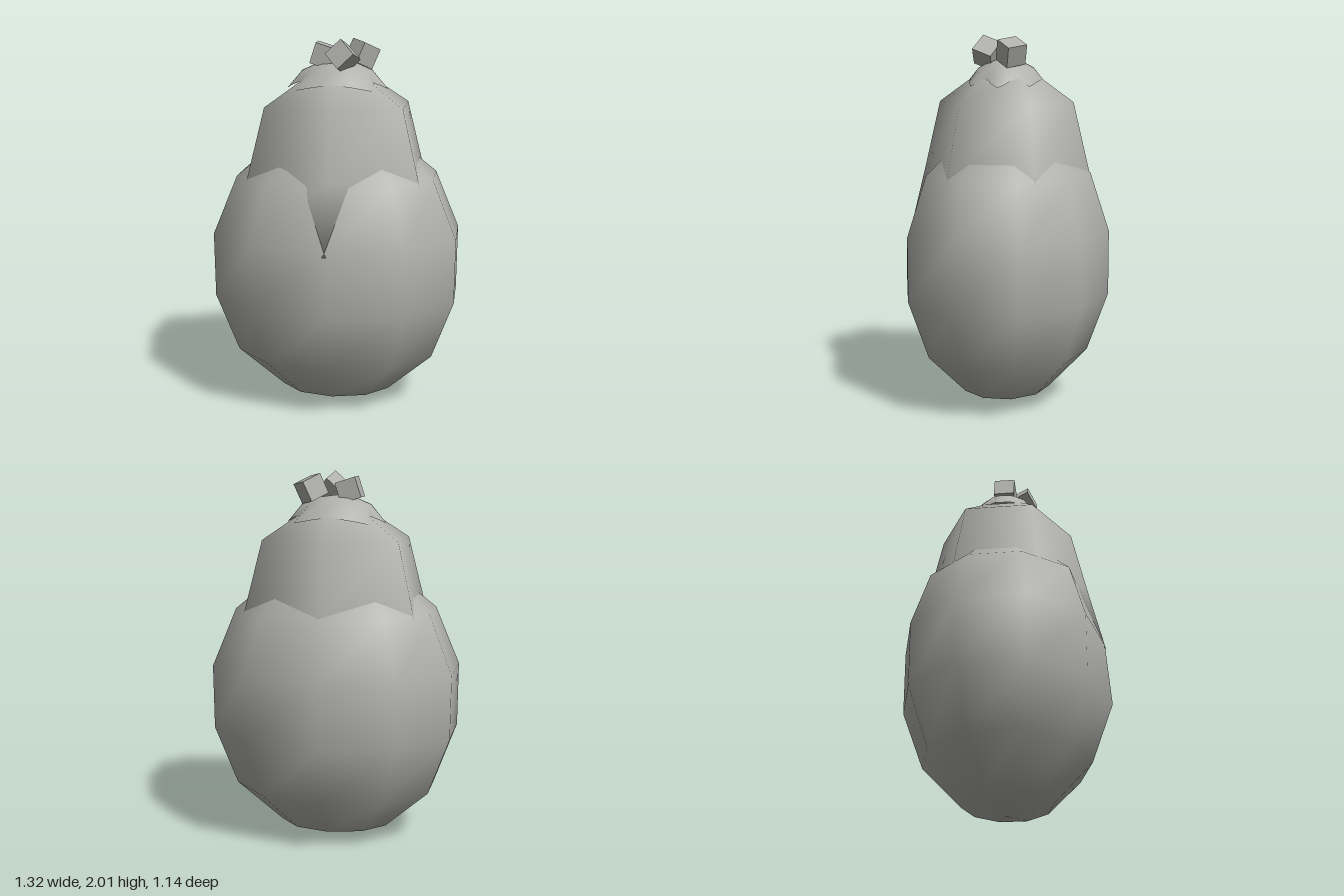
import * as THREE from 'three';
import { mergeVertices } from 'three/addons/utils/BufferGeometryUtils.js';

// Smooth surface through rings of equal point count, listed bottom to top,
// each ring running from +z towards +x. A pole is a ring of identical points.
function loft(rings) {
  const n = rings[0].length;
  const index = [];
  for (let r = 0; r < rings.length - 1; r++) {
    for (let i = 0; i < n; i++) {
      const a = r * n + i, b = r * n + (i + 1) % n;
      index.push(a, b, b + n, a, b + n, a + n);
    }
  }
  const geometry = new THREE.BufferGeometry();
  geometry.setAttribute('position', new THREE.Float32BufferAttribute(rings.flat(2), 3));
  geometry.setIndex(index);
  const welded = mergeVertices(geometry, 1e-4);
  welded.computeVertexNormals();
  return welded;
}

function ellipseRing(n, rx, rz, y, frontZ = rz) {
  return Array.from({ length: n }, (_, i) => {
    const a = (i / n) * Math.PI * 2;
    return [rx * Math.sin(a), y, (i === 0 ? frontZ : rz * Math.cos(a))];
  });
}

export function createModel() {
  const model = new THREE.Group();
  const cloth = new THREE.MeshStandardMaterial({ color: 0xb0b0ad });
  cloth.name = 'grey cloth';
  const clothOpen = new THREE.MeshStandardMaterial({ color: 0xb0b0ad, side: THREE.DoubleSide });
  clothOpen.name = 'grey cloth edge';

  function add(name, geometry, material = cloth) {
    const mesh = new THREE.Mesh(geometry, material);
    mesh.name = name;
    model.add(mesh);
    return mesh;
  }

  // Bulging lower sack: ten sides, seven bands, slightly flattened at the front
  add('sackBody', loft([
    ellipseRing(10, 0, 0, 0),
    ellipseRing(10, 0.31, 0.245, 0.06),
    ellipseRing(10, 0.565, 0.455, 0.28),
    ellipseRing(10, 0.69, 0.57, 0.6),
    ellipseRing(10, 0.695, 0.57, 0.95, 0.54),
    ellipseRing(10, 0.56, 0.465, 1.27, 0.42),
    ellipseRing(10, 0.3, 0.24, 1.48),
    ellipseRing(10, 0, 0, 1.55),
  ]));

  // Six-sided gathered neck rising out of the body
  const neckRing = (r, y) => ellipseRing(6, r / 0.866, r, y);
  add('sackNeck', loft([
    neckRing(0, 0.9),
    neckRing(0.545, 0.93),
    neckRing(0.455, 1.29),
    neckRing(0.37, 1.65),
    neckRing(0.19, 1.78),
    neckRing(0, 1.83),
  ]));

  // Domed cap with a scalloped rim; one quarter mirrored round
  const quarter = [
    [0, 1.775, 0.2], [0.1, 1.76, 0.185], [0.2, 1.74, 0.16],
    [0.2, 1.775, 0.065], [0.245, 1.755, 0.04], [0.275, 1.735, 0],
  ];
  const mirror = (pts, sx, sz) => pts.map(([x, y, z]) => [x * sx, y, z * sz]);
  const rim = [
    ...quarter,
    ...mirror(quarter.slice(0, 5).reverse(), 1, -1),
    ...mirror(quarter.slice(1), -1, -1),
    ...mirror(quarter.slice(1, 5).reverse(), -1, 1),
  ];
  const capRing = (rx, rz, y) => rim.map(([x, , z]) => {
    const a = Math.atan2(x / 0.275, z / 0.2);
    return [rx * Math.sin(a), y, rz * Math.cos(a)];
  });
  add('cap', loft([
    rim,
    capRing(0.19, 0.15, 1.835),
    capRing(0.11, 0.085, 1.87),
    capRing(0, 0, 1.885),
  ]), clothOpen);

  // Three tumbled cubes on top
  const cubes = [
    [[-0.073, 1.913, 0], [0, 0, -0.31, 'XYZ']],
    [[0.13, 1.92, -0.05], [0.15, 0.7, -0.4, 'YXZ']],
    [[0.04, 1.915, 0.095], [-0.35, -0.25, 0.72, 'XYZ']],
  ];
  const cubeGeometry = new THREE.BoxGeometry(0.115, 0.115, 0.115);
  cubes.forEach(([position, rotation], i) => {
    const cube = add('cube' + (i + 1), cubeGeometry);
    cube.position.set(...position);
    cube.rotation.set(...rotation);
  });

  return model;
}
